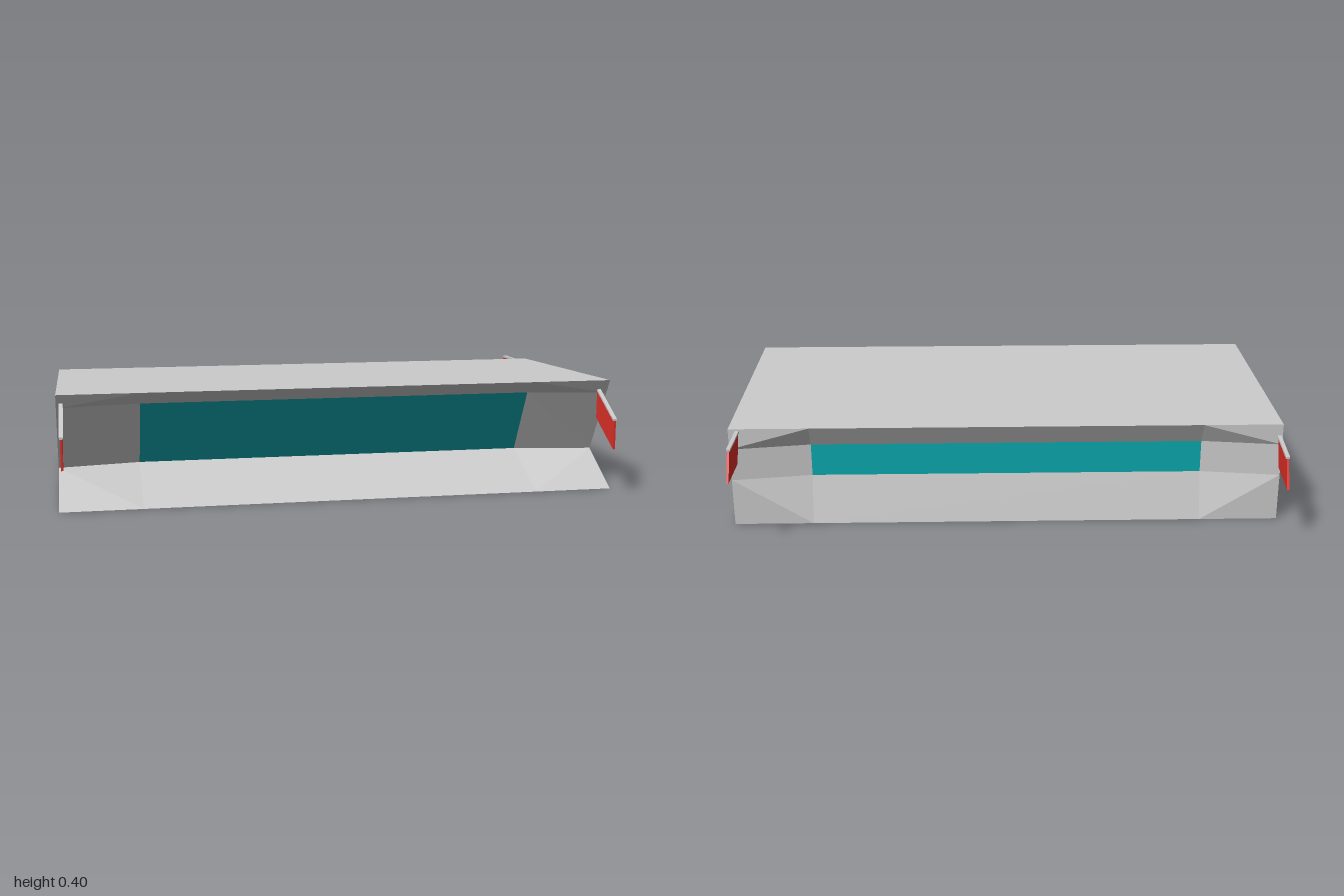
import * as THREE from 'three';

const grey = new THREE.MeshStandardMaterial({ color: 0xcccccc, flatShading: true, side: THREE.DoubleSide });
const teal = new THREE.MeshStandardMaterial({ color: 0x0aaab0, flatShading: true, side: THREE.DoubleSide });
const red = new THREE.MeshStandardMaterial({ color: 0xe03028, flatShading: true, side: THREE.DoubleSide });

// Side outline as [z, y], from the front lower lip over the top to the back foot
const outer = [
  [0.53, 0], [0.33, 0.115], [0.466, 0.35], [0.495, 0.4],
  [-0.403, 0.373], [-0.403, 0.295], [-0.403, 0.175], [-0.403, 0],
];
// Same outline between the windows' ends, with both windows sunk in
const inner = outer.map((p) => [...p]);
inner[1][0] = 0.28;
inner[2][0] = 0.41;
inner[5][0] = inner[6][0] = -0.36;

const sections = [[-1, outer], [-0.7125, inner], [0.7125, inner], [1, outer]];

function makeMesh(name, geometry, material) {
  const mesh = new THREE.Mesh(geometry, material);
  mesh.name = name;
  return mesh;
}

function fromTriangles(points) {
  const geometry = new THREE.BufferGeometry().setFromPoints(points);
  geometry.computeVertexNormals();
  return geometry;
}

// Skin lofted across the sections; the two sunken centre strips become windows
function makeBody() {
  const group = new THREE.Group();
  group.name = 'body';
  const shell = [];
  const at = (i, j) => {
    const [x, loop] = sections[i];
    const [z, y] = loop[j % loop.length];
    return new THREE.Vector3(x, y, z);
  };
  for (let i = 0; i < 3; i++) {
    for (let j = 0; j < outer.length; j++) {
      const a = at(i, j), b = at(i + 1, j), c = at(i + 1, j + 1), d = at(i, j + 1);
      // Folds run from the inner lip to the outer end of each window line
      const foldAC = (j % 4 === 0) === (i === 2);
      const tris = foldAC ? [a, b, c, a, c, d] : [a, b, d, b, c, d];
      if (i === 1 && j % 4 === 1) {
        group.add(makeMesh(j === 1 ? 'frontWindow' : 'rearWindow', fromTriangles(tris), teal));
      } else {
        shell.push(...tris);
      }
    }
  }
  group.add(makeMesh('shell', fromTriangles(shell), grey));

  // Flat end walls
  for (const side of [-1, 1]) {
    const shape = new THREE.Shape(outer.map(([z, y]) => new THREE.Vector2(-side * z, y)));
    const wall = new THREE.ShapeGeometry(shape).rotateY(side * Math.PI / 2).translate(side, 0, 0);
    group.add(makeMesh(side > 0 ? 'leftWall' : 'rightWall', wall, grey));
  }
  return group;
}

// Thin upright plate with its outline given as [z, y]; lean slides x along z
function plate(points, x, thickness, lean) {
  const shape = new THREE.Shape(points.map(([z, y]) => new THREE.Vector2(z, y)));
  const geometry = new THREE.ExtrudeGeometry(shape, { depth: thickness, bevelEnabled: false });
  geometry.rotateY(-Math.PI / 2).translate(x + thickness / 2, 0, 0);
  const pos = geometry.attributes.position;
  for (let i = 0; i < pos.count; i++) {
    pos.setX(i, pos.getX(i) + lean * (Math.abs(pos.getZ(i)) - 0.4));
  }
  geometry.computeVertexNormals();
  return geometry;
}

// Slanted red flap hanging from a slim grey rail
function makeFlap(name, x, [z, y], along, drop, lean = 0) {
  const group = new THREE.Group();
  group.name = name;
  const end = [z + along[0], y + along[1]];
  const panel = [[z, y], end, [end[0] + drop[0], end[1] + drop[1]], [z + drop[0], y + drop[1]]];
  const lift = 0.008;
  const rail = [[z, y], end, [end[0], end[1] + lift], [z, y + lift]];
  group.add(makeMesh('panel', plate(panel, x, 0.008, lean), red));
  group.add(makeMesh('rail', plate(rail, x, 0.014, lean), grey));
  return group;
}

export function createModel() {
  const model = new THREE.Group();
  model.name = 'foldedCabin';
  model.add(makeBody());
  model.add(
    makeFlap('frontLeftFlap', 0.967, [0.467, 0.36], [0.158, -0.09], [0, -0.103]),
    makeFlap('frontRightFlap', -0.983, [0.473, 0.362], [0.162, -0.09], [0, -0.106]),
    makeFlap('rearLeftFlap', 0.967, [-0.403, 0.359], [-0.178, 0], [-0.054, -0.097]),
    makeFlap('rearRightFlap', -0.988, [-0.403, 0.322], [-0.18, -0.01], [-0.047, -0.097], 0.06),
  );
  return model;
}
